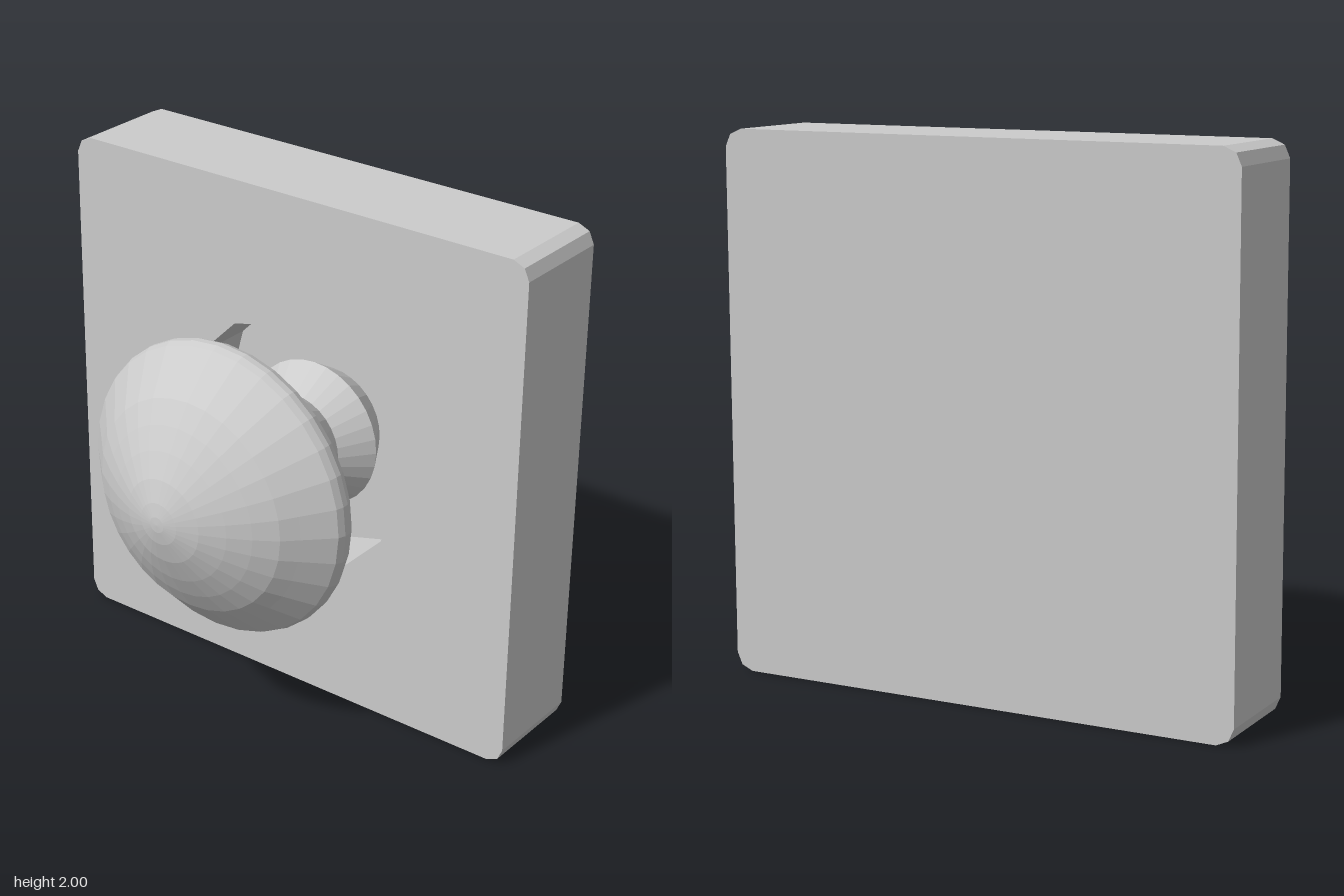
import * as THREE from 'three';
import { mergeGeometries } from 'three/addons/utils/BufferGeometryUtils.js';

const FRONT = -0.17, BACK = -0.58, FLOOR = -0.45, CENTRE = 1;
const material = new THREE.MeshStandardMaterial({ color: 0xcccccc, flatShading: true });

// Flat strip of quads along a closed outline; faces outward if it runs anticlockwise
function wall(points, zBack, zFront) {
  const pos = [];
  points.forEach((a, i) => {
    const b = points[(i + 1) % points.length];
    pos.push(a.x, a.y, zBack, b.x, b.y, zBack, b.x, b.y, zFront);
    pos.push(a.x, a.y, zBack, b.x, b.y, zFront, a.x, a.y, zFront);
  });
  const g = new THREE.BufferGeometry();
  g.setAttribute('position', new THREE.Float32BufferAttribute(pos, 3));
  g.computeVertexNormals();
  return g;
}

// Flat cap from an outline, with an optional hole
function cap(points, z, hole) {
  const shape = new THREE.Shape(points);
  if (hole) shape.holes.push(new THREE.Path(hole));
  const g = new THREE.ShapeGeometry(shape).toNonIndexed();
  g.deleteAttribute('uv');
  return g.translate(0, 0, z);
}

export function createModel() {
  const model = new THREE.Group();
  const add = (name, geometry) => {
    const mesh = new THREE.Mesh(geometry, material);
    mesh.name = name;
    mesh.position.y = CENTRE;
    model.add(mesh);
  };

  // Square outline with two-facet rounded corners
  const outline = [];
  for (let q = 0; q < 4; q++) {
    for (const [x, y] of [[1, 0.935], [0.98, 0.98], [0.935, 1]]) {
      outline.push(new THREE.Vector2(x, y).rotateAround(new THREE.Vector2(), q * Math.PI / 2));
    }
  }

  // Twelve-sided recess
  const recess = Array.from({ length: 12 }, (_, i) => {
    const a = i * Math.PI / 6;
    return new THREE.Vector2(0.5 * Math.cos(a), 0.5 * Math.sin(a));
  });

  // Wall plate
  add('plate', mergeGeometries([
    cap(outline, FRONT, recess),
    wall(outline, BACK, FRONT),
    cap(outline, -BACK).rotateY(Math.PI),
  ]));
  add('recess', mergeGeometries([
    wall([...recess].reverse(), FLOOR, FRONT),
    cap(recess, FLOOR),
  ]));

  // Turned parts: [radius, z] profiles running from back to front
  const turned = (profile) => new THREE.LatheGeometry(
    profile.map(([r, z]) => new THREE.Vector2(r, z)), 32).rotateX(Math.PI / 2);

  // Ridged stem
  add('stem', turned([
    [0.22, FLOOR], [0.29, -0.33], [0.2, -0.215], [0.272, -0.1], [0.215, 0.025], [0.27, 0.14],
  ]));

  // Domed button head
  add('buttonHead', turned([
    [0.27, 0.14], [0.505, 0.14], [0.55, 0.178], [0.565, 0.21], [0.565, 0.235], [0.555, 0.262],
    [0.46, 0.355], [0.41, 0.405], [0.33, 0.458], [0.25, 0.503], [0.16, 0.545],
    [0.08, 0.571], [0.03, 0.581], [0, 0.583],
  ]));

  return model;
}
